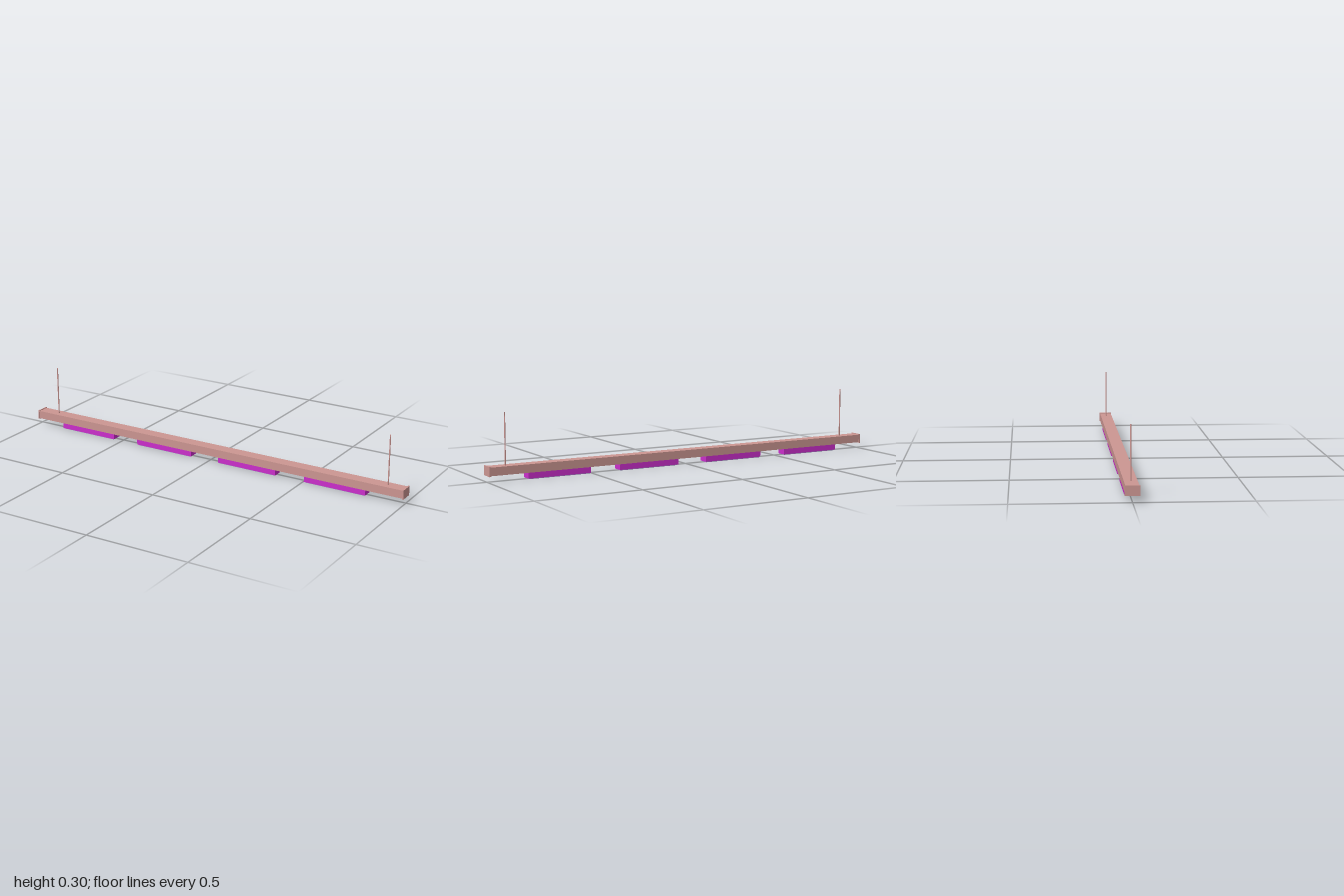
import * as THREE from 'three';

export function createModel() {
  const model = new THREE.Group();
  const mat = (color) => new THREE.MeshStandardMaterial({ color, flatShading: true });
  const wood = mat(0xcc9692);
  const purple = mat(0xcc2ecc);
  const lavender = mat(0xa08fc8);

  const add = (name, geometry, material, x, y) => {
    const mesh = new THREE.Mesh(geometry, material);
    mesh.name = name;
    mesh.position.set(x, y, 0);
    model.add(mesh);
  };
  const box = (name, material, x0, x1, y0, y1, depth) =>
    add(name, new THREE.BoxGeometry(x1 - x0, y1 - y0, depth), material, (x0 + x1) / 2, (y0 + y1) / 2);

  // Long beam with slightly larger end caps
  box('beam', wood, -0.995, 0.995, 0.03, 0.068, 0.057);
  box('rightEndCap', wood, -1, -0.994, 0.027, 0.071, 0.063);
  box('leftEndCap', wood, 0.994, 1, 0.027, 0.071, 0.063);

  // Four lamp housings with a narrower diffuser below
  for (const [x0, x1] of [[-0.85, -0.543], [-0.405, -0.098], [0.052, 0.359], [0.507, 0.814]]) {
    box('lampHousing', purple, x0, x1, 0.003, 0.031, 0.048);
    box('lampDiffuser', lavender, x0 + 0.004, x1 - 0.004, 0, 0.004, 0.041);
  }

  // Hanging rods
  for (const x of [-0.893, 0.912]) {
    add('hangingRod', new THREE.CylinderGeometry(0.003, 0.003, 0.236, 8), wood, x, 0.185);
  }

  return model;
}
